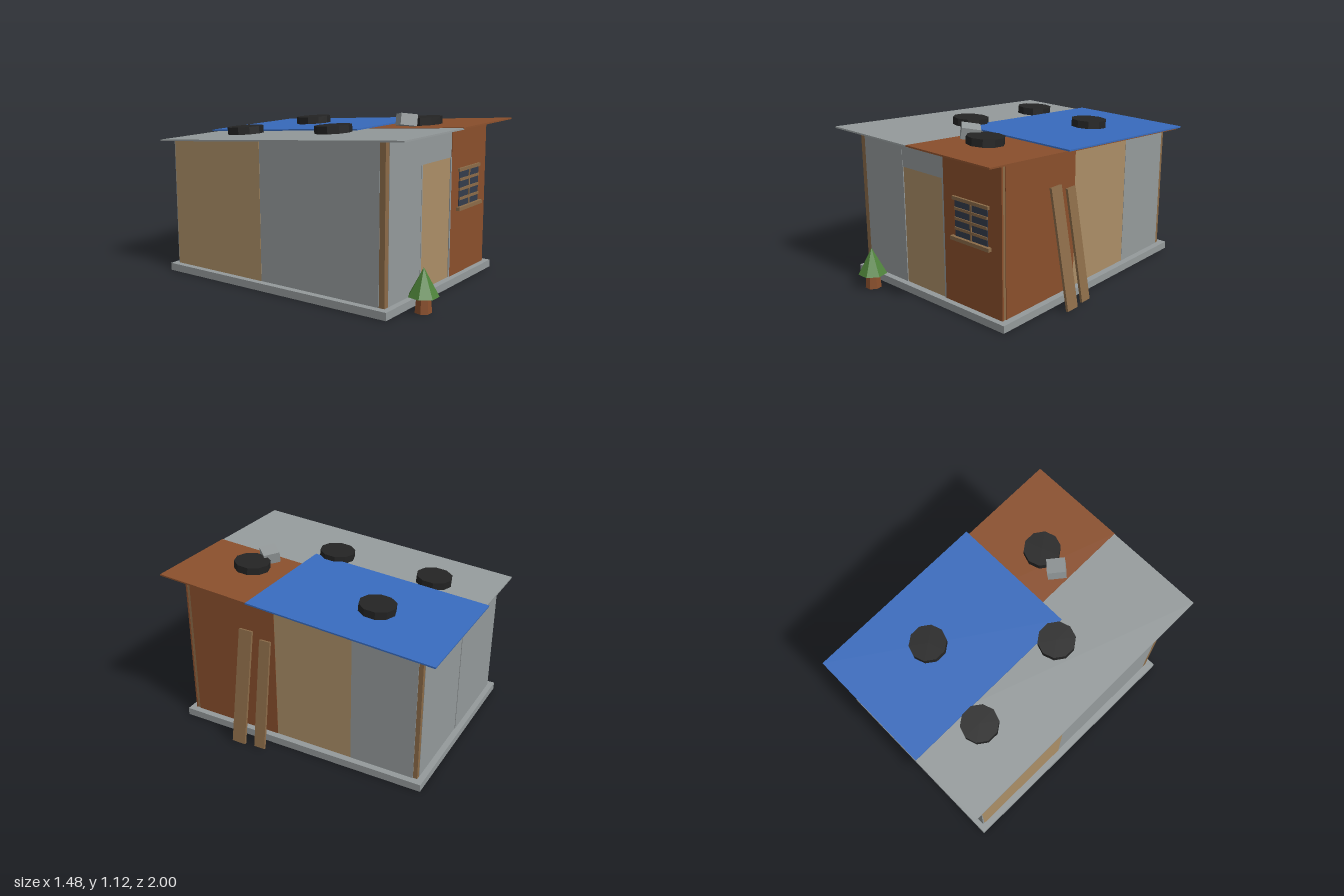
import * as THREE from 'three';

const mat = (name, color) => {
  const m = new THREE.MeshStandardMaterial({ color });
  m.name = name;
  m.flatShading = true;
  return m;
};

// Underside height of the sloping roof at depth z
const SLOPE = 0.0755;
const roofY = (z) => 0.971 + SLOPE * z;
const TILT = -Math.atan(SLOPE);

export function createModel() {
  const grey = mat('sheet grey', 0x949a9b);
  const rust = mat('rusty brown', 0x8a4f2c);
  const tan = mat('plywood tan', 0xab8e67);
  const wood = mat('weathered wood', 0x8b6b48);
  const blue = mat('tarp blue', 0x386bbd);
  const black = mat('tyre black', 0x242424);
  const glass = mat('dark glass', 0x343c4c);
  const green = mat('leaf green', 0x4c8038);

  const model = new THREE.Group();
  model.name = 'shack';

  const add = (name, geo, material, x = 0, y = 0, z = 0, parent = model) => {
    const mesh = new THREE.Mesh(geo, material);
    mesh.name = name;
    mesh.position.set(x, y, z);
    parent.add(mesh);
    return mesh;
  };

  // Box given by its limits
  const block = (name, material, x0, x1, y0, y1, z0, z1, parent) =>
    add(name, new THREE.BoxGeometry(x1 - x0, y1 - y0, z1 - z0), material,
      (x0 + x1) / 2, (y0 + y1) / 2, (z0 + z1) / 2, parent);

  // Upright panel whose top edge follows the roof slope
  const panel = (name, material, x0, x1, z0, z1, y0 = 0.05) => {
    const geo = new THREE.BoxGeometry(x1 - x0, 1, z1 - z0);
    geo.translate((x0 + x1) / 2, 0, (z0 + z1) / 2);
    const p = geo.attributes.position;
    for (let i = 0; i < p.count; i++) p.setY(i, p.getY(i) > 0 ? roofY(p.getZ(i)) : y0);
    geo.computeVertexNormals();
    return add(name, geo, material);
  };

  // Foundation slab
  block('slab', grey, -0.735, 0.615, 0, 0.05, -0.94, 0.82);

  // Corner posts
  for (const x of [-0.688, 0.528])
    for (const z of [-0.898, 0.738]) panel('cornerPost', wood, x, x + 0.04, z, z + 0.04);

  // Front wall
  panel('frontLeftSheet', grey, -0.65, -0.285, 0.768, 0.78);
  panel('doorHeader', grey, -0.285, 0.09, 0.766, 0.778, 0.84);
  panel('frontRightSheet', rust, 0.09, 0.57, 0.77, 0.782);

  // Door with thin jambs
  block('door', tan, -0.278, 0.077, 0.05, 0.84, 0.762, 0.776);
  block('doorJamb', grey, -0.29, -0.278, 0.05, 0.84, 0.762, 0.782);
  block('doorJamb', grey, 0.077, 0.09, 0.05, 0.84, 0.762, 0.782);

  // Right wall
  panel('rightRustSheet', rust, 0.56, 0.572, 0.11, 0.75);
  panel('rightPlywood', tan, 0.558, 0.57, -0.435, 0.11);
  panel('rightGreySheet', grey, 0.56, 0.572, -0.87, -0.435);

  // Left wall
  panel('leftPlywood', tan, -0.692, -0.68, -0.9, -0.155);
  panel('leftGreySheet', grey, -0.69, -0.678, -0.155, 0.74);

  // Back wall
  panel('backSheet', grey, -0.05, 0.54, -0.9, -0.888);
  panel('backSheet', grey, -0.692, -0.05, -0.904, -0.89);

  // Roof sheets, all on the same slope
  const sheet = (name, material, x0, x1, z0, z1, lift) => {
    const z = (z0 + z1) / 2;
    const geo = new THREE.BoxGeometry(x1 - x0, 0.01, (z1 - z0) / Math.cos(TILT));
    add(name, geo, material, (x0 + x1) / 2, roofY(z) + lift, z).rotation.x = TILT;
  };
  sheet('greyRoof', grey, -0.747, -0.05, -0.98, 0.935, 0.005);
  sheet('rustRoof', rust, -0.06, 0.627, -0.98, 0.937, 0.008);
  sheet('blueRoof', blue, -0.23, 0.647, -1.0, 0.267, 0.02);

  // Tyres weighing the roof down: x, z, lift
  for (const [x, z, lift] of [
    [-0.35, -0.57, 0.01], [-0.31, 0.14, 0.01], [0.25, -0.445, 0.025], [0.19, 0.515, 0.013],
  ]) {
    add('roofTyre', new THREE.CylinderGeometry(0.122, 0.122, 0.05, 10), black,
      x, roofY(z) + lift + 0.025, z).rotation.x = TILT;
  }

  // Loose concrete block leaning on a tyre
  add('concreteBlock', new THREE.BoxGeometry(0.11, 0.075, 0.12), grey, 0.027, 1.064, 0.48)
    .rotation.set(-0.04, -0.75, -0.2, 'ZXY');

  // Window
  const win = new THREE.Group();
  win.name = 'window';
  model.add(win);
  block('pane', glass, 0.19, 0.46, 0.5, 0.735, 0.781, 0.787, win);
  block('lintel', wood, 0.175, 0.472, 0.735, 0.757, 0.78, 0.797, win);
  block('sill', wood, 0.164, 0.486, 0.478, 0.502, 0.78, 0.808, win);
  block('mullion', wood, 0.319, 0.331, 0.5, 0.736, 0.782, 0.792, win);
  for (const y of [0.553, 0.616, 0.68])
    block('windowBar', wood, 0.19, 0.46, y - 0.009, y + 0.009, 0.782, 0.793, win);

  // Planks leaning on the right wall: foot x, top x, top y, z, width, sideways lean
  for (const [x0, x1, y1, z, w, lean] of [
    [0.729, 0.583, 0.786, 0.316, 0.097, 0],
    [0.714, 0.585, 0.745, 0.168, 0.078, 0.012],
  ]) {
    const dx = x1 - x0, dy = y1 - 0.01;
    add('leaningPlank', new THREE.BoxGeometry(0.017, Math.hypot(dx, dy), w), wood,
      (x0 + x1) / 2, (y1 + 0.01) / 2, z).rotation.set(lean, 0, Math.atan2(-dx, dy));
  }

  // Small tree
  const tree = new THREE.Group();
  tree.name = 'tree';
  tree.position.set(-0.475, 0, 0.914);
  model.add(tree);
  const turn = Math.PI / 7;
  add('trunk', new THREE.CylinderGeometry(0.043, 0.054, 0.11, 7, 1, false, turn), rust, 0, 0.055, 0, tree);
  add('foliage', new THREE.ConeGeometry(0.096, 0.175, 7, 1, false, turn), green, 0, 0.1875, 0, tree);

  return model;
}
